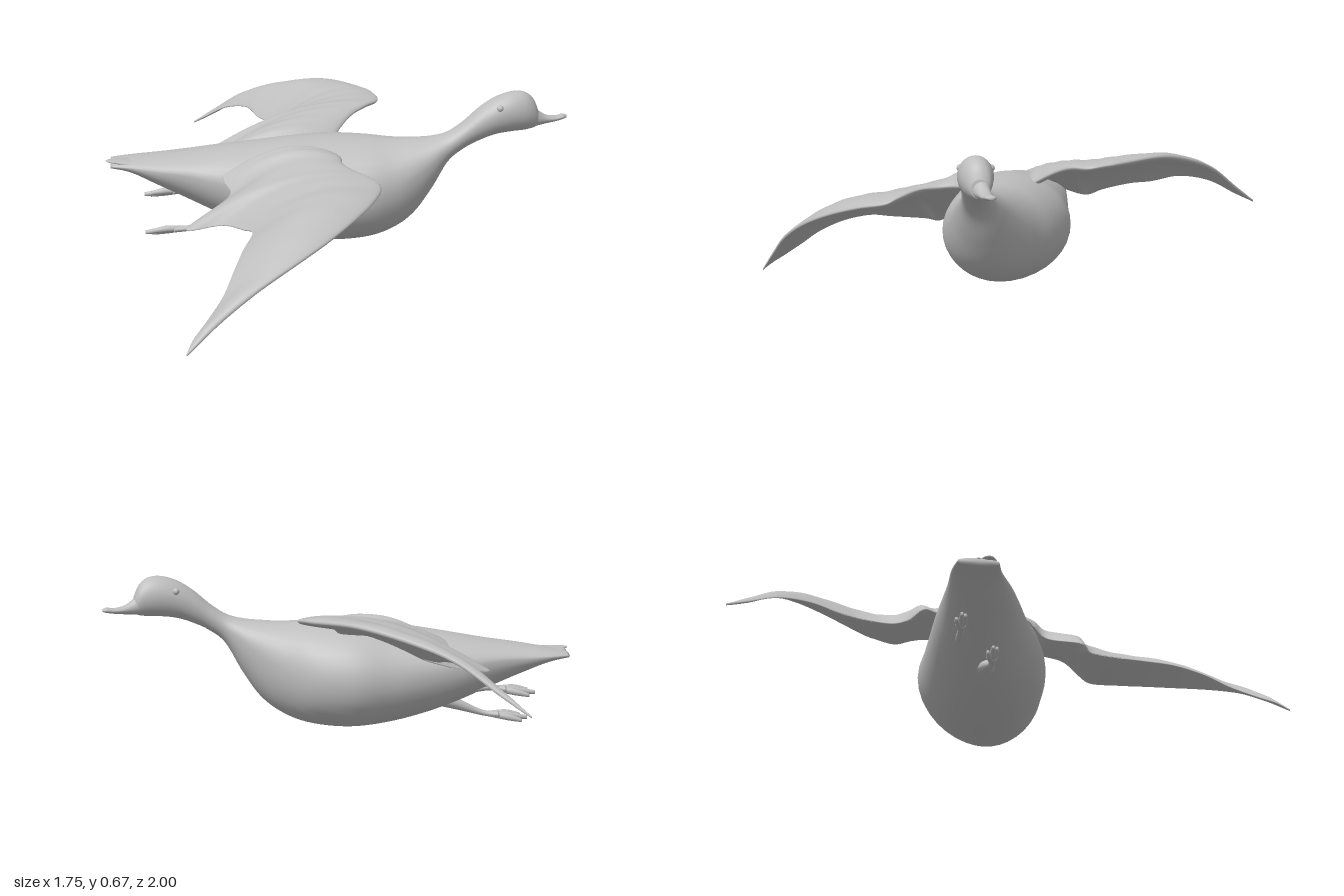
import * as THREE from 'three';

// Uniform Catmull-Rom interpolation through rows of numbers, u in 0..1
function spline(rows, u) {
  const n = rows.length - 1, f = u * n, i = Math.min(Math.floor(f), n - 1), t = f - i;
  const a = rows[Math.max(i - 1, 0)], b = rows[i], c = rows[i + 1], d = rows[Math.min(i + 2, n)];
  return b.map((_, k) => b[k] + 0.5 * t * (c[k] - a[k] +
    t * (2 * a[k] - 5 * b[k] + 4 * c[k] - d[k] + t * (3 * (b[k] - c[k]) + d[k] - a[k]))));
}

// Closed skin over equal-length rings of points, wound outwards
function loft(rings) {
  const m = rings[0].length, n = rings.length, pts = rings.flat(), idx = [];
  for (let i = 0; i < n - 1; i++) for (let j = 0; j < m; j++) {
    const a = i * m + j, b = i * m + (j + 1) % m;
    idx.push(a, b, a + m, b, b + m, a + m);
  }
  for (const [r, end] of [[0, false], [n - 1, true]]) {
    const c = new THREE.Vector3();
    rings[r].forEach(p => c.addScaledVector(p, 1 / m));
    const k = pts.push(c) - 1;
    for (let j = 0; j < m; j++) {
      const a = r * m + j, b = r * m + (j + 1) % m;
      end ? idx.push(k, a, b) : idx.push(k, b, a);
    }
  }
  let volume = 0;
  for (let i = 0; i < idx.length; i += 3) {
    volume += pts[idx[i]].dot(new THREE.Vector3().crossVectors(pts[idx[i + 1]], pts[idx[i + 2]]));
  }
  if (volume < 0) idx.reverse();
  const g = new THREE.BufferGeometry().setFromPoints(pts);
  g.setIndex(idx);
  g.computeVertexNormals();
  return g;
}

// Rounded trunk along x. Row: x, top y, widest y, bottom y, centre z, half width
function trunk(rows, steps, sides) {
  const rings = [];
  for (let i = 0; i <= steps; i++) {
    const [x, top, mid, bottom, z, w] = spline(rows, i / steps), ring = [];
    for (let j = 0; j < sides; j++) {
      const a = j / sides * Math.PI * 2, s = Math.sin(a);
      ring.push(new THREE.Vector3(x, mid + s * (s > 0 ? top - mid : mid - bottom), z + w * Math.cos(a)));
    }
    rings.push(ring);
  }
  return loft(rings);
}

// Cambered wing. Row: leading x, y, z, trailing x, y, z, camber, thickness
function wing(rows) {
  const rings = [], steps = 90, chord = 20;
  for (let i = 0; i <= steps; i++) {
    const u = i / steps, r = spline(rows, u), ring = [];
    const point = (t, side) => {
      const thick = r[7] * (1.9 * Math.sqrt(t) * (1 - t) + 0.12 * Math.sin(Math.PI * t));
      const feather = r[7] * 0.1 * Math.sin(u * 75 + t * 3) * t * (1 - t);
      const y = r[1] + (r[4] - r[1]) * t + r[6] * Math.sin(Math.PI * t) + feather;
      return new THREE.Vector3(r[0] + (r[3] - r[0]) * t, y + side * (thick / 2 + 0.002),
        r[2] + (r[5] - r[2]) * t);
    };
    for (let j = 0; j <= chord; j++) ring.push(point((j / chord) ** 1.6, 1));
    for (let j = chord; j >= 0; j--) ring.push(point((j / chord) ** 1.6, -1));
    rings.push(ring);
  }
  return loft(rings);
}

export function createModel() {
  const model = new THREE.Group();
  const grey = new THREE.MeshStandardMaterial({ color: 0xbebebe });
  grey.name = 'plain grey';
  const add = (name, geometry) => {
    const mesh = new THREE.Mesh(geometry, grey);
    mesh.name = name;
    model.add(mesh);
    return mesh;
  };

  // Tail, body, neck and head in one smooth skin
  add('body', trunk([
    [-0.855, 0.384, 0.372, 0.358, -0.15, 0.072],
    [-0.78, 0.395, 0.37, 0.34, -0.145, 0.09],
    [-0.68, 0.41, 0.365, 0.295, -0.12, 0.115],
    [-0.57, 0.425, 0.36, 0.245, -0.1, 0.14],
    [-0.45, 0.445, 0.34, 0.19, -0.08, 0.17],
    [-0.32, 0.465, 0.32, 0.14, -0.05, 0.205],
    [-0.18, 0.485, 0.3, 0.105, -0.03, 0.23],
    [-0.04, 0.495, 0.295, 0.092, -0.025, 0.238],
    [0.1, 0.495, 0.3, 0.105, 0.0, 0.215],
    [0.2, 0.49, 0.325, 0.14, 0.025, 0.168],
    [0.28, 0.493, 0.37, 0.2, 0.045, 0.125],
    [0.35, 0.5, 0.42, 0.3, 0.06, 0.088],
    [0.41, 0.518, 0.465, 0.405, 0.07, 0.058],
    [0.47, 0.558, 0.51, 0.455, 0.072, 0.052],
    [0.53, 0.61, 0.55, 0.485, 0.07, 0.056],
    [0.59, 0.648, 0.58, 0.506, 0.068, 0.063],
    [0.65, 0.667, 0.592, 0.515, 0.064, 0.064],
    [0.7, 0.664, 0.59, 0.518, 0.058, 0.058],
    [0.735, 0.638, 0.58, 0.523, 0.05, 0.046],
    [0.755, 0.595, 0.56, 0.53, 0.045, 0.03],
  ], 110, 36));

  // Flattened bill
  add('bill', trunk([
    [0.72, 0.62, 0.57, 0.525, 0.045, 0.036],
    [0.755, 0.59, 0.555, 0.528, 0.038, 0.031],
    [0.79, 0.566, 0.55, 0.532, 0.026, 0.025],
    [0.83, 0.558, 0.548, 0.537, 0.014, 0.022],
    [0.86, 0.562, 0.552, 0.543, 0.004, 0.021],
    [0.875, 0.557, 0.552, 0.547, 0.0, 0.01],
  ], 24, 20));

  // Eyes
  for (const z of [0.012, 0.12]) {
    add('eye', new THREE.SphereGeometry(0.013, 16, 12)).position.set(0.6, 0.615, z);
  }

  // Overlapping tail feathers
  [[-0.71, -0.185], [-0.73, -0.15], [-0.745, -0.115]].forEach(([x, z], i) => {
    const feather = add('tailFeather', new THREE.SphereGeometry(1, 20, 12));
    feather.scale.set(0.13, 0.011, 0.046);
    feather.position.set(x, 0.374 + i * 0.003, z);
    feather.rotation.z = -0.06;
  });

  // Wings, caught mid-beat at different heights, with roots sunk into the back
  add('leftWing', wing([
    [-0.03, 0.39, 0.03, -0.42, 0.35, 0.03, 0.015, 0.05],
    [-0.01, 0.44, 0.12, -0.44, 0.37, 0.08, 0.04, 0.07],
    [0.0, 0.45, 0.18, -0.43, 0.35, 0.115, 0.045, 0.07],
    [0.0, 0.445, 0.24, -0.42, 0.31, 0.165, 0.04, 0.06],
    [0.03, 0.44, 0.31, -0.58, 0.22, 0.26, 0.045, 0.06],
    [0.1, 0.42, 0.38, -0.45, 0.25, 0.32, 0.055, 0.055],
    [0.12, 0.4, 0.43, -0.38, 0.27, 0.45, 0.05, 0.05],
    [0.08, 0.38, 0.53, -0.35, 0.28, 0.53, 0.045, 0.045],
    [0.0, 0.345, 0.635, -0.39, 0.25, 0.64, 0.04, 0.04],
    [-0.1, 0.3, 0.73, -0.43, 0.2, 0.74, 0.03, 0.035],
    [-0.21, 0.25, 0.805, -0.47, 0.14, 0.82, 0.02, 0.03],
    [-0.35, 0.18, 0.88, -0.53, 0.08, 0.9, 0.012, 0.025],
    [-0.48, 0.095, 0.94, -0.575, 0.04, 0.955, 0.005, 0.018],
    [-0.595, 0.004, 1.0, -0.6, 0.003, 1.0, 0, 0.004],
  ]));
  add('rightWing', wing([
    [-0.03, 0.4, -0.05, -0.45, 0.36, -0.07, 0.015, 0.05],
    [0.0, 0.455, -0.11, -0.48, 0.385, -0.13, 0.035, 0.07],
    [0.03, 0.49, -0.16, -0.48, 0.375, -0.18, 0.04, 0.07],
    [0.08, 0.525, -0.22, -0.44, 0.375, -0.235, 0.04, 0.06],
    [0.14, 0.545, -0.27, -0.53, 0.34, -0.3, 0.045, 0.06],
    [0.19, 0.55, -0.33, -0.4, 0.36, -0.34, 0.05, 0.055],
    [0.18, 0.56, -0.4, -0.28, 0.4, -0.39, 0.045, 0.05],
    [0.15, 0.565, -0.46, -0.24, 0.43, -0.49, 0.04, 0.05],
    [0.02, 0.57, -0.61, -0.27, 0.435, -0.58, 0.03, 0.045],
    [-0.15, 0.53, -0.73, -0.31, 0.45, -0.69, 0.02, 0.035],
    [-0.29, 0.475, -0.825, -0.39, 0.42, -0.81, 0.01, 0.025],
    [-0.42, 0.38, -0.925, -0.47, 0.355, -0.92, 0.004, 0.018],
    [-0.51, 0.317, -0.997, -0.515, 0.315, -0.997, 0, 0.004],
  ]));

  // Legs trailing back, each with three folded toes
  for (const [name, y, z, dip] of [['leftLeg', 0.13, -0.06, 0.06], ['rightLeg', 0.25, -0.17, 0.0]]) {
    add(name, trunk([
      [-0.4, y + dip + 0.03, y + dip, y + dip - 0.03, z, 0.035],
      [-0.48, y + dip / 2 + 0.02, y + dip / 2, y + dip / 2 - 0.02, z, 0.02],
      [-0.56, y + 0.011, y, y - 0.011, z, 0.012],
      [-0.62, y + 0.006, y - 0.006, y - 0.02, z - 0.01, 0.02],
    ], 20, 14));
    for (const k of [-1, 0, 1]) {
      add('toe', trunk([
        [-0.58, y + 0.006, y - 0.004, y - 0.014, z - 0.005, 0.01],
        [-0.65, y + 0.004 + k * 0.006, y - 0.01 + k * 0.006, y - 0.022 + k * 0.006, z - 0.012 + k * 0.011, 0.011],
        [-0.73 + k * k * 0.025, y - 0.012 + k * 0.008, y - 0.02 + k * 0.008, y - 0.027 + k * 0.008, z - 0.02 + k * 0.016, 0.006],
      ], 12, 10));
    }
  }
  return model;
}
